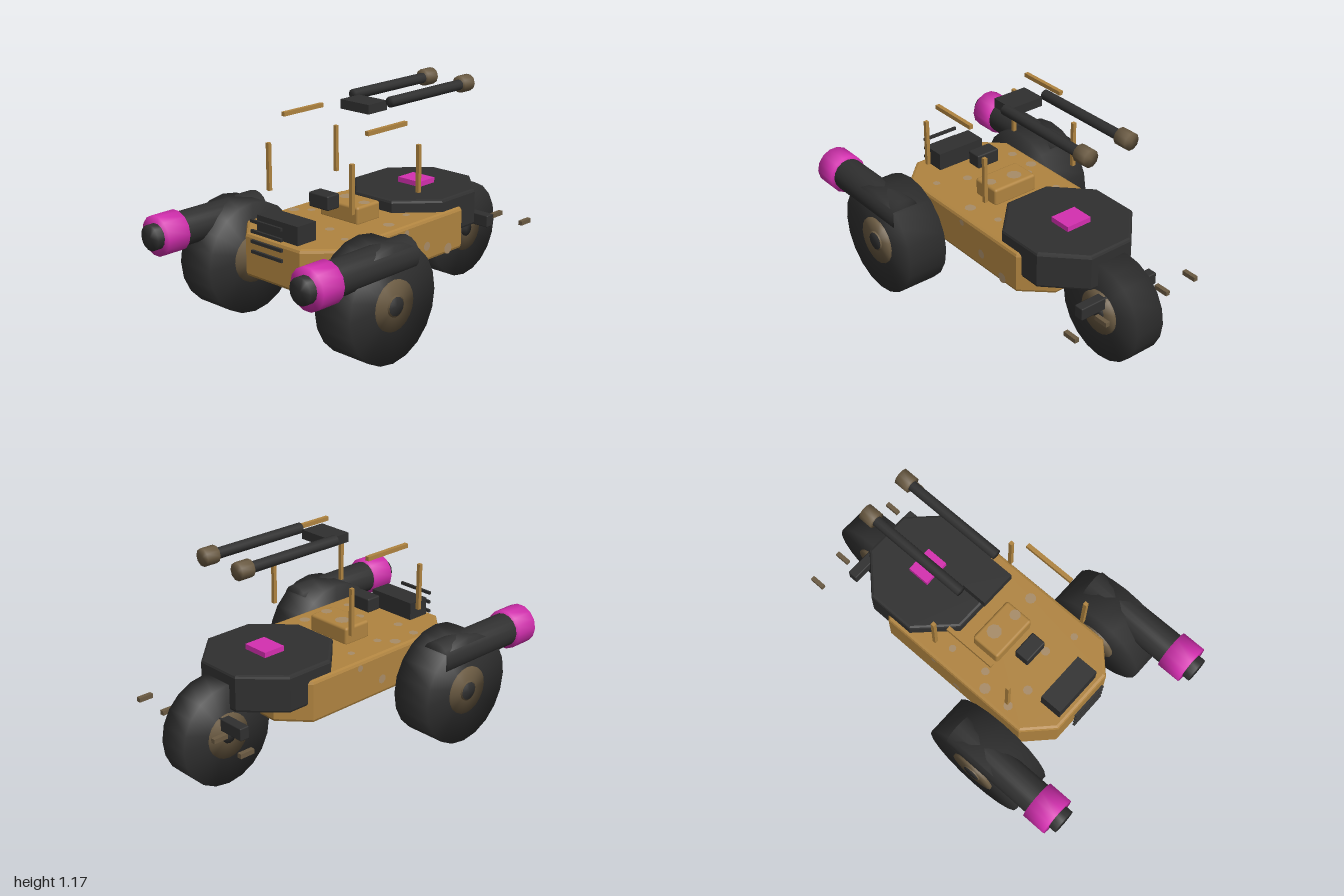
import * as THREE from 'three';
import { mergeVertices } from 'three/addons/utils/BufferGeometryUtils.js';
import { RoundedBoxGeometry } from 'three/addons/geometries/RoundedBoxGeometry.js';

const paint = (name, color) => {
  const m = new THREE.MeshStandardMaterial({ color });
  m.name = name;
  return m;
};

export function createModel() {
  const model = new THREE.Group();
  model.name = 'buggy';
  const gold = paint('gold', 0xb08440);
  const dark = paint('charcoal', 0x303030);
  const brown = paint('bronze', 0x6a5a42);
  const pink = paint('magenta', 0xd42fb0);
  const spot = paint('tan spots', 0xa88c68);

  const add = (name, geo, mat, x = 0, y = 0, z = 0) => {
    const mesh = new THREE.Mesh(geo, mat);
    mesh.name = name;
    mesh.position.set(x, y, z);
    model.add(mesh);
    return mesh;
  };

  // Box given by its extents; optional rounded edges
  const box = (name, mat, [x0, x1], [y0, y1], [z0, z1], r = 0) => {
    const s = [x1 - x0, y1 - y0, z1 - z0];
    const geo = r ? new RoundedBoxGeometry(...s, 2, r) : new THREE.BoxGeometry(...s);
    return add(name, geo, mat, (x0 + x1) / 2, (y0 + y1) / 2, (z0 + z1) / 2);
  };

  // Softly shaded cylinder along x or z, shared normals round the rims
  const drum = (name, mat, axis, r, length, x, y, z, sides = 20) => {
    let geo = new THREE.CylinderGeometry(r, r, length, sides);
    geo.deleteAttribute('normal');
    geo.deleteAttribute('uv');
    geo = mergeVertices(geo);
    geo.computeVertexNormals();
    if (axis === 'x') geo.rotateZ(Math.PI / 2);
    else geo.rotateX(Math.PI / 2);
    return add(name, geo, mat, x, y, z);
  };

  // Bevelled plan outline raised between two heights
  const slab = (name, mat, points, y0, y1, b) => {
    const shape = new THREE.Shape(points.map(([x, z]) => new THREE.Vector2(x, z)));
    const geo = new THREE.ExtrudeGeometry(shape, {
      depth: y1 - y0 - 2 * b, bevelThickness: b, bevelSize: b, bevelOffset: -b, bevelSegments: 2,
    });
    geo.rotateX(-Math.PI / 2);
    return add(name, geo, mat, 0, y0 + b, 0);
  };

  // Hull and raised front deck
  slab('hull', gold, [[-0.67, -0.19], [-0.53, -0.335], [0.38, -0.335], [0.515, -0.19],
    [0.515, 0.19], [0.38, 0.335], [-0.53, 0.335], [-0.67, 0.19]], 0.305, 0.535, 0.018);
  slab('frontDeck', dark, [[0.055, -0.13], [0.245, -0.315], [0.515, -0.315], [0.705, -0.13],
    [0.705, 0.13], [0.515, 0.315], [0.245, 0.315], [0.055, 0.13]], 0.4, 0.6, 0.015);
  box('deckPanel', pink, [0.34, 0.465], [0.59, 0.628], [-0.075, 0.075]);

  // Fittings along the top of the hull
  box('seat', gold, [-0.205, -0.035], [0.525, 0.625], [-0.135, 0.135], 0.015);
  box('console', dark, [-0.35, -0.265], [0.625, 0.702], [-0.068, 0.068], 0.008);
  box('engineBox', dark, [-0.635, -0.51], [0.53, 0.632], [-0.143, 0.143]);
  for (let i = 0; i < 4; i++) {
    const y = 0.627 - i * 0.053;
    box('rearSlat', dark, [-0.712, -0.699], [y - 0.008, y + 0.008], [-0.107, 0.107]);
  }

  // Axle and front wheel
  drum('rearAxle', brown, 'z', 0.055, 1.236, -0.455, 0.302, 0, 16);
  drum('frontTyre', dark, 'z', 0.27, 0.17, 0.725, 0.27, 0);
  drum('frontHub', brown, 'z', 0.12, 0.194, 0.725, 0.27, 0);
  drum('frontHubCap', dark, 'z', 0.042, 0.204, 0.725, 0.275, 0, 12);
  box('steeringBar', dark, [0.72, 0.775], [0.315, 0.383], [-0.247, 0.247], 0.006);

  for (const s of [-1, 1]) {
    // Rear wheels
    drum('rearTyre', dark, 'z', 0.3, 0.228, -0.455, 0.302, s * 0.487);
    drum('rearHub', brown, 'z', 0.13, 0.25, -0.455, 0.302, s * 0.487);
    drum('rearHubCap', dark, 'z', 0.048, 0.02, -0.455, 0.302, s * 0.612, 12);

    // Thrusters above the rear wheels
    drum('thrusterBody', dark, 'x', 0.09, 0.6, -0.59, 0.51, s * 0.53, 16);
    drum('thrusterRing', pink, 'x', 0.107, 0.133, -0.893, 0.51, s * 0.533, 14);
    drum('thrusterNozzle', dark, 'x', 0.068, 0.1, -0.95, 0.51, s * 0.53, 14);

    // Roll frame posts and rails
    for (const x of [-0.41, 0.08])
      box('framePost', gold, [x - 0.01, x + 0.01], [0.675, 0.927], [s * 0.29 - 0.01, s * 0.29 + 0.01]);
    box('frameRail', gold, [-0.305, -0.022], [1.045, 1.067], [s * 0.29 - 0.011, s * 0.29 + 0.011]);

    // Twin overhead barrels
    drum('barrel', dark, 'x', 0.028, 0.57, 0.325, 1.125, s * 0.128, 10);
    drum('muzzle', brown, 'x', 0.046, 0.076, 0.634, 1.127, s * 0.128, 10);

    // Front pegs
    for (const z of [0.2, 0.395])
      box('frontPeg', brown, [0.825, 0.907], [0.338, 0.362], [s * z - 0.012, s * z + 0.012]);
  }
  box('gunMount', dark, [-0.085, 0.055], [1.078, 1.127], [-0.097, 0.097]);

  // Pale camouflage spots on top, sides and underside of the hull
  const disc = (r, x, y, z, rx) => {
    add('camouflageSpot', new THREE.CircleGeometry(r, 9), spot, x, y, z).rotation.x = rx;
  };
  for (const [x, z, r] of [[-0.25, -0.28, 0.03], [-0.4, -0.27, 0.025], [-0.19, -0.21, 0.022],
    [-0.42, -0.14, 0.025], [-0.35, 0.08, 0.025], [0.02, -0.23, 0.02], [-0.1, 0.25, 0.03],
    [-0.41, 0.24, 0.02], [0.08, 0.21, 0.02]]) {
    disc(r, x, 0.537, z, -Math.PI / 2);
    disc(r * 0.8, x + 0.1, 0.303, z * 0.8, Math.PI / 2);
  }
  disc(0.03, -0.12, 0.627, 0.1, -Math.PI / 2);
  disc(0.04, -0.1, 0.627, -0.04, -Math.PI / 2);
  for (const [x, y, r] of [[0.1, 0.39, 0.025], [0.27, 0.335, 0.03], [-0.06, 0.5, 0.018]]) {
    disc(r, x, y, 0.337, 0);
    disc(r, -x, y, -0.337, Math.PI);
  }

  return model;
}
